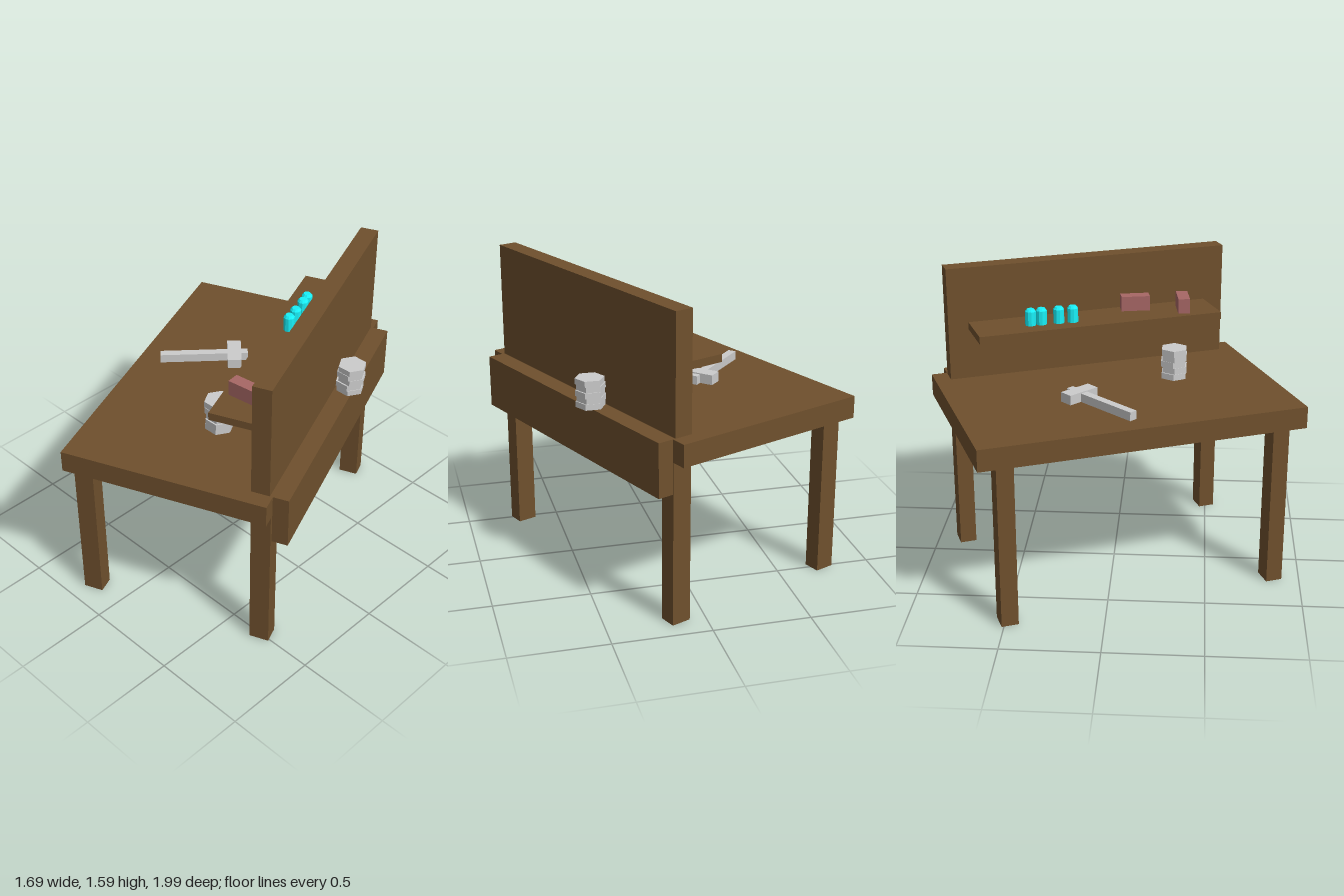
import * as THREE from 'three';

const material = (color) => new THREE.MeshStandardMaterial({ color, flatShading: true });

export function createModel() {
  const model = new THREE.Group();
  model.name = 'workbench';
  const wood = material(0x6f502d);
  const grey = material(0xcccccc);
  const red = material(0xa76765);
  const cyan = material(0x18f0f8);

  // Box given by its base height, placed in any parent
  const box = (parent, name, mat, [w, h, d], [x, y, z], turn = 0) => {
    const mesh = new THREE.Mesh(new THREE.BoxGeometry(w, h, d), mat);
    mesh.name = name;
    mesh.position.set(x, y + h / 2, z);
    mesh.rotation.y = turn;
    parent.add(mesh);
    return mesh;
  };

  // Bench, turned as a whole
  const bench = new THREE.Group();
  bench.name = 'bench';
  bench.position.x = -0.022;
  bench.rotation.y = 0.387;
  model.add(bench);
  box(bench, 'tableTop', wood, [1.074, 0.115, 1.715], [0, 0.865, 0]);
  for (const sx of [-1, 1]) {
    for (const sz of [-1, 1]) {
      box(bench, 'leg', wood, [0.103, 0.865, 0.088], [sx * 0.475, 0, sz * 0.722]);
    }
  }
  box(bench, 'backBoard', wood, [0.095, 0.607, 1.55], [0.475, 0.98, 0]);
  box(bench, 'rearRail', wood, [0.082, 0.278, 1.55], [0.577, 0.702, 0]);
  box(bench, 'shelf', wood, [0.267, 0.04, 1.334], [0.3, 1.25, 0]);

  // Hammer lying on the table
  const hammer = new THREE.Group();
  hammer.name = 'hammer';
  model.add(hammer);
  box(hammer, 'hammerHandle', grey, [0.466, 0.046, 0.042], [-0.268, 0.98, -0.05], 0.83);
  box(hammer, 'hammerHead', grey, [0.073, 0.052, 0.183], [-0.159, 0.98, -0.169], 0.80);

  // Small boxes on the shelf
  box(model, 'smallBox', red, [0.066, 0.08, 0.155], [0.41, 1.29, 0.087], 0.19);
  box(model, 'smallBox', red, [0.155, 0.08, 0.063], [0.423, 1.29, 0.346], 0.12);

  // Vials with chamfered tops
  const vialProfile = [[0, 0], [0.029, 0], [0.029, 0.075], [0.019, 0.088], [0, 0.088]]
    .map(([r, y]) => new THREE.Vector2(r, y));
  const vialGeometry = new THREE.LatheGeometry(vialProfile, 10);
  for (const [x, z] of [[0.1, -0.445], [0.12, -0.39], [0.15, -0.302], [0.172, -0.23]]) {
    const vial = new THREE.Mesh(vialGeometry, cyan);
    vial.name = 'vial';
    vial.position.set(x, 1.29, z);
    model.add(vial);
  }

  // Stacks of hexagonal ingots, each layer slightly shifted
  const stack = (x, z, height, shifts) => {
    const group = new THREE.Group();
    group.name = 'ingotStack';
    group.position.set(x, 0.98, z);
    const h = height / shifts.length;
    const geometry = new THREE.CylinderGeometry(0.074, 0.074, h, 6);
    shifts.forEach(([dx, dz], i) => {
      const ingot = new THREE.Mesh(geometry, grey);
      ingot.name = 'ingot';
      ingot.position.set(dx, (i + 0.5) * h, dz);
      ingot.rotation.y = Math.PI / 6;
      group.add(ingot);
    });
    model.add(group);
  };
  stack(0.204, 0.308, 0.165, [[0.004, 0], [0.01, 0.004], [0.008, -0.004], [0.006, 0.003], [0, 0]]);
  stack(0.463, -0.4, 0.15, [[-0.003, 0.004], [-0.008, 0.006], [0, -0.002], [-0.006, 0.003], [0, 0]]);
  return model;
}
